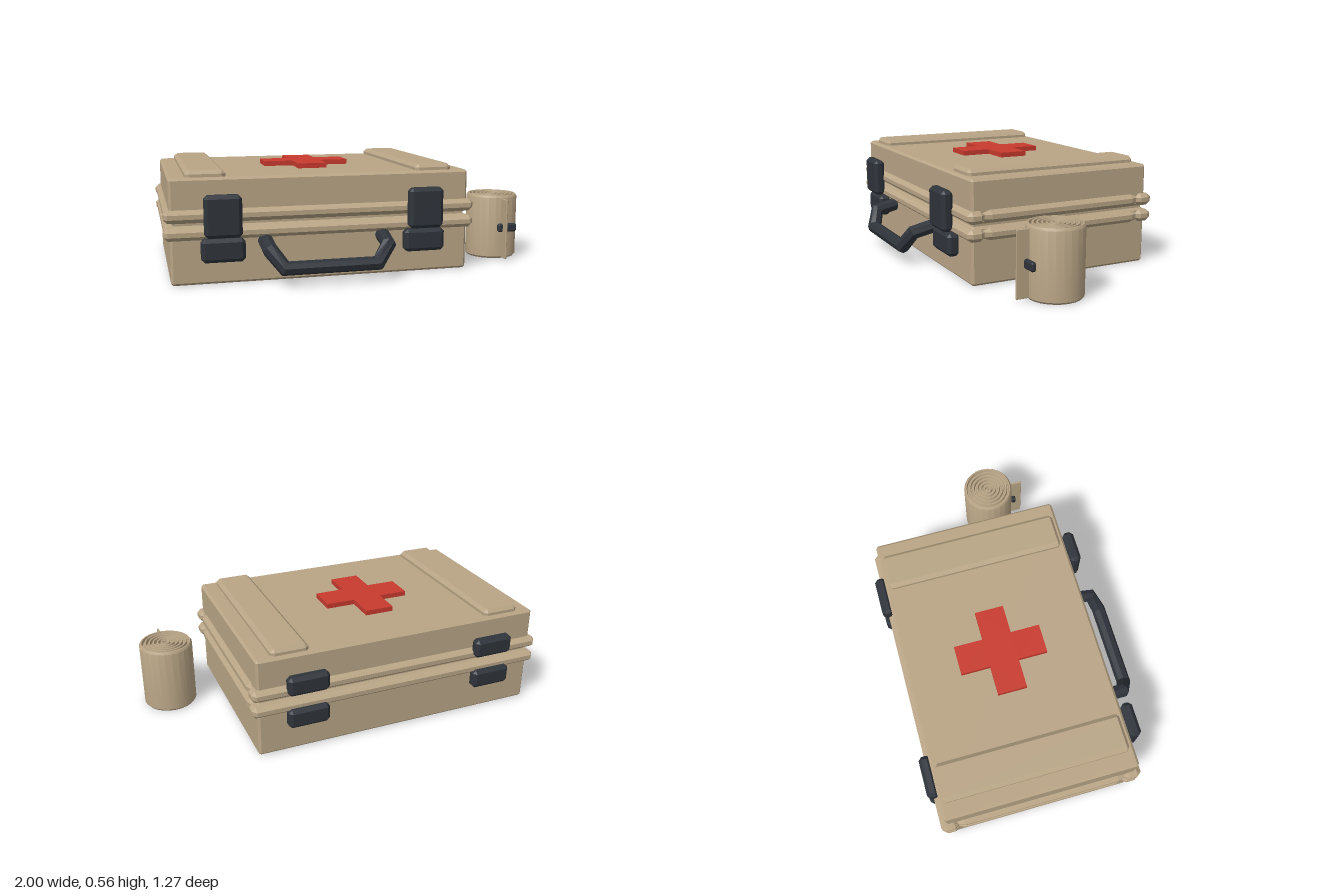
import * as THREE from 'three';
import { toCreasedNormals } from 'three/addons/utils/BufferGeometryUtils.js';
import { ConvexGeometry } from 'three/addons/geometries/ConvexGeometry.js';

const tan = new THREE.MeshStandardMaterial({ color: 0xb9a586 });
tan.name = 'tan';
const dark = new THREE.MeshStandardMaterial({ color: 0x2f343b });
dark.name = 'charcoal';
const red = new THREE.MeshStandardMaterial({ color: 0xc83a2e });
red.name = 'red';

// Chamfered box given by its extents; b is the chamfer along each axis
function bevelBox(name, mat, [x0, x1], [y0, y1], [z0, z1], b) {
  const h = [(x1 - x0) / 2, (y1 - y0) / 2, (z1 - z0) / 2];
  const points = [];
  for (let axis = 0; axis < 3; axis++) {
    for (const sx of [-1, 1]) for (const sy of [-1, 1]) for (const sz of [-1, 1]) {
      const p = h.map((v, i) => (i === axis ? v : v - b[i]));
      points.push(new THREE.Vector3(p[0] * sx, p[1] * sy, p[2] * sz));
    }
  }
  const mesh = new THREE.Mesh(new ConvexGeometry(points), mat);
  mesh.name = name;
  mesh.position.set((x0 + x1) / 2, (y0 + y1) / 2, (z0 + z1) / 2);
  return mesh;
}

// Polyline path with averaged tangents at the bends
class BentPath extends THREE.Curve {
  constructor(points) {
    super();
    this.points = points;
  }
  getPointAt(u, target = new THREE.Vector3()) {
    return target.copy(this.points[Math.round(u * (this.points.length - 1))]);
  }
  getTangentAt(u, target = new THREE.Vector3()) {
    const p = this.points, i = Math.round(u * (p.length - 1));
    target.set(0, 0, 0);
    if (i > 0) target.add(p[i].clone().sub(p[i - 1]).normalize());
    if (i < p.length - 1) target.add(p[i + 1].clone().sub(p[i]).normalize());
    return target.normalize();
  }
}

function createHandle() {
  const half = [[-0.305, 0.215, 0.42], [-0.3, 0.185, 0.555], [-0.235, 0.1, 0.595]];
  const all = [...half, ...half.map(([x, y, z]) => [-x, y, z]).reverse()];
  const path = new BentPath(all.map(([x, y, z]) => new THREE.Vector3(x - 0.2, y, z)));
  const geo = new THREE.TubeGeometry(path, all.length - 1, 0.039, 8, false).toNonIndexed();
  geo.computeVertexNormals();
  const handle = new THREE.Mesh(geo, dark);
  handle.name = 'carryHandle';
  return handle;
}

function createCross() {
  const a = 0.077, l = 0.232;
  const outline = [[a, l], [a, a], [l, a], [l, -a], [a, -a], [a, -l],
    [-a, -l], [-a, -a], [-l, -a], [-l, a], [-a, a], [-a, l]];
  const shape = new THREE.Shape(outline.map(([x, y]) => new THREE.Vector2(x, y)));
  const geo = new THREE.ExtrudeGeometry(shape, { depth: 0.03, bevelEnabled: false });
  geo.rotateX(-Math.PI / 2);
  const cross = new THREE.Mesh(geo, red);
  cross.name = 'lidCross';
  cross.position.set(-0.2, 0.53, -0.073);
  return cross;
}

// Rolled bandage with ridged top, loose end and clip
function createBandage() {
  const group = new THREE.Group();
  group.name = 'bandageRoll';
  const r = 0.141, top = 0.36;
  const profile = [[0, 0.005], [r - 0.008, 0.005], [r, 0.015], [r, top - 0.012], [r - 0.008, top]];
  for (let i = 0; i < 6; i++) {
    const outer = 0.126 - i * 0.022;
    profile.push([outer, top], [outer - 0.004, top - 0.018], [outer - 0.01, top - 0.018], [outer - 0.014, top]);
  }
  profile.push([0, top]);
  const lathe = new THREE.LatheGeometry(profile.map(([x, y]) => new THREE.Vector2(x, y)), 24);
  const roll = new THREE.Mesh(toCreasedNormals(lathe, 0.6), tan);
  roll.name = 'rolledCloth';
  roll.position.set(0.856, 0, 0.142);
  group.add(
    roll,
    bevelBox('looseEnd', tan, [0.851, 0.861], [0.015, 0.345], [0.25, 0.348], [0.002, 0.002, 0.002]),
    bevelBox('clip', dark, [0.825, 0.936], [0.16, 0.205], [0.285, 0.31], [0.008, 0.008, 0.006]),
  );
  return group;
}

export function createModel() {
  const model = new THREE.Group();
  model.name = 'firstAidCase';

  // Case halves and the recessed core in the seam
  const edge = [0.012, 0.012, 0.012];
  model.add(
    bevelBox('lowerShell', tan, [-0.97, 0.573], [0.005, 0.3], [-0.576, 0.437], edge),
    bevelBox('lidShell', tan, [-0.97, 0.573], [0.312, 0.534], [-0.576, 0.437], edge),
    bevelBox('seam', tan, [-0.955, 0.558], [0.28, 0.33], [-0.561, 0.422], [0.002, 0.002, 0.002]),
  );

  // Rim rails around both halves
  for (const [name, y] of [['lower', [0.23, 0.293]], ['lid', [0.317, 0.38]]]) {
    for (const z of [[0.372, 0.466], [-0.604, -0.51]]) {
      model.add(bevelBox(name + 'LongRail', tan, [-1, 0.603], y, z, [0.02, 0.02, 0.025]));
    }
    for (const x of [[-0.995, -0.92], [0.523, 0.598]]) {
      model.add(bevelBox(name + 'SideRail', tan, x, y, [-0.54, 0.4], [0.022, 0.02, 0.06]));
    }
  }

  // Raised strips on the lid
  for (const x of [[-0.888, -0.69], [0.293, 0.49]]) {
    model.add(bevelBox('lidStrip', tan, x, [0.505, 0.567], [-0.555, 0.412], [0.02, 0.018, 0.015]));
  }

  // Front latches and rear hinges
  for (const x of [-0.717, 0.32]) {
    const wide = [x - 0.108, x + 0.108], narrow = [x - 0.092, x + 0.092];
    const b = [0.018, 0.018, 0.018];
    model.add(
      bevelBox('latchFlap', dark, narrow, [0.246, 0.456], [0.458, 0.52], b),
      bevelBox('latchBase', dark, wide, [0.122, 0.24], [0.43, 0.498], b),
      bevelBox('hingeUpper', dark, wide, [0.333, 0.435], [-0.632, -0.57], b),
      bevelBox('hingeLower', dark, wide, [0.153, 0.256], [-0.632, -0.57], b),
    );
  }

  model.add(createHandle(), createCross(), createBandage());
  return model;
}
